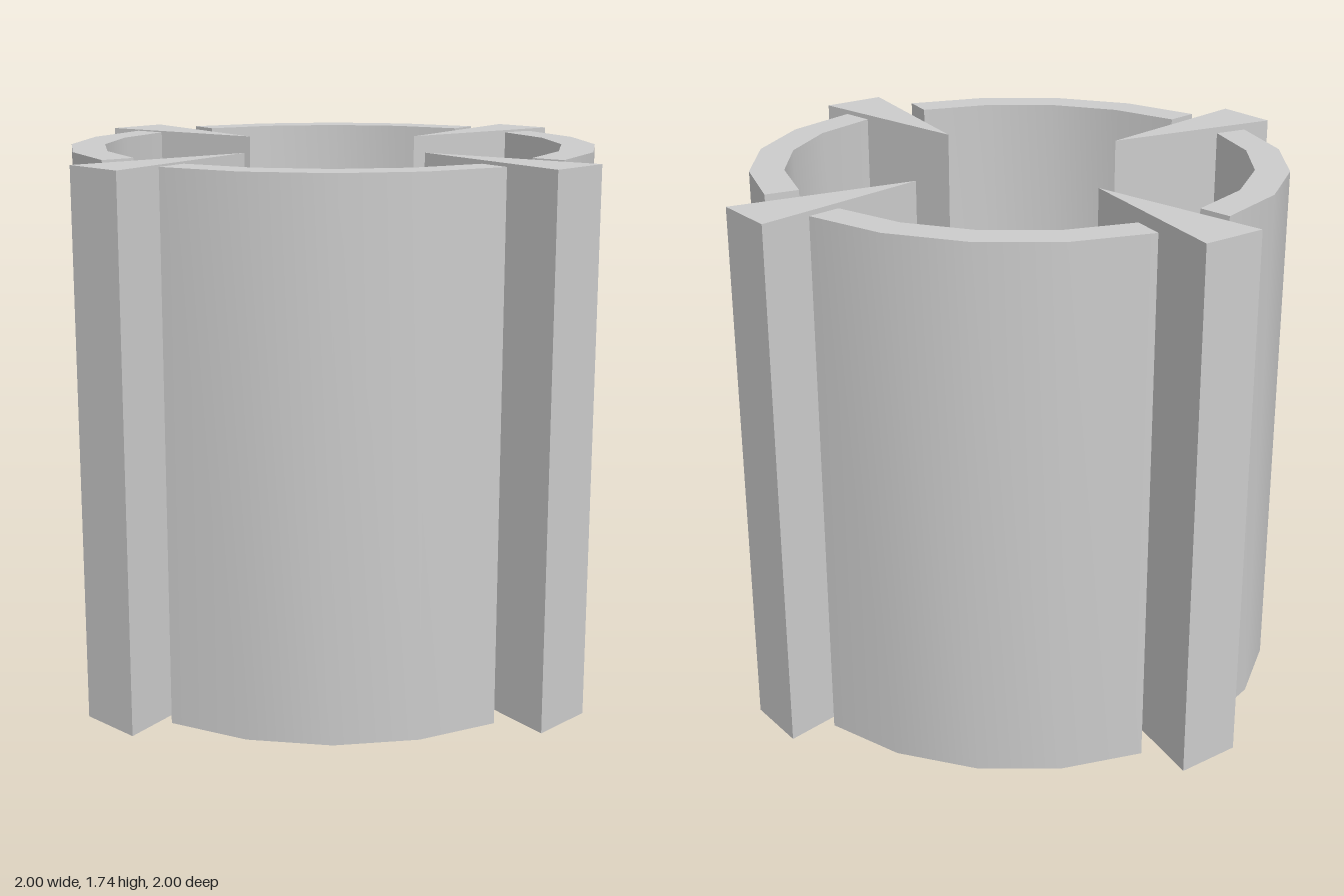
import * as THREE from 'three';
import { toCreasedNormals } from 'three/addons/utils/BufferGeometryUtils.js';

const HEIGHT = 1.74;

// Upright prism from a plan outline of [x, z] points
function prism(outline) {
  const shape = new THREE.Shape(outline.map(([x, z]) => new THREE.Vector2(x, -z)));
  const geometry = new THREE.ExtrudeGeometry(shape, { depth: HEIGHT, bevelEnabled: false });
  geometry.rotateX(-Math.PI / 2);
  return toCreasedNormals(geometry, 0.5);
}

// Points on an arc of four 18 degree steps, from 10 to 82 degrees
function arc(radius) {
  return [10, 28, 46, 64, 82].map((deg) => {
    const a = THREE.MathUtils.degToRad(deg);
    return [radius * Math.cos(a), radius * Math.sin(a)];
  });
}

export function createModel() {
  const group = new THREE.Group();
  group.name = 'splitRingWithWedges';
  const material = new THREE.MeshStandardMaterial({ color: 0xcccccc });

  // Curved wall segment and pointed wedge, each repeated every quarter turn
  const wall = prism([...arc(0.86), ...arc(0.75).reverse()]);
  const wedge = prism([[0.4, 0], [1, -0.107], [1, 0.107]]);

  for (let i = 0; i < 4; i++) {
    for (const [name, geometry] of [['wallSegment', wall], ['wedge', wedge]]) {
      const mesh = new THREE.Mesh(geometry, material);
      mesh.name = `${name}${i + 1}`;
      mesh.rotation.y = (i * Math.PI) / 2;
      group.add(mesh);
    }
  }
  return group;
}
